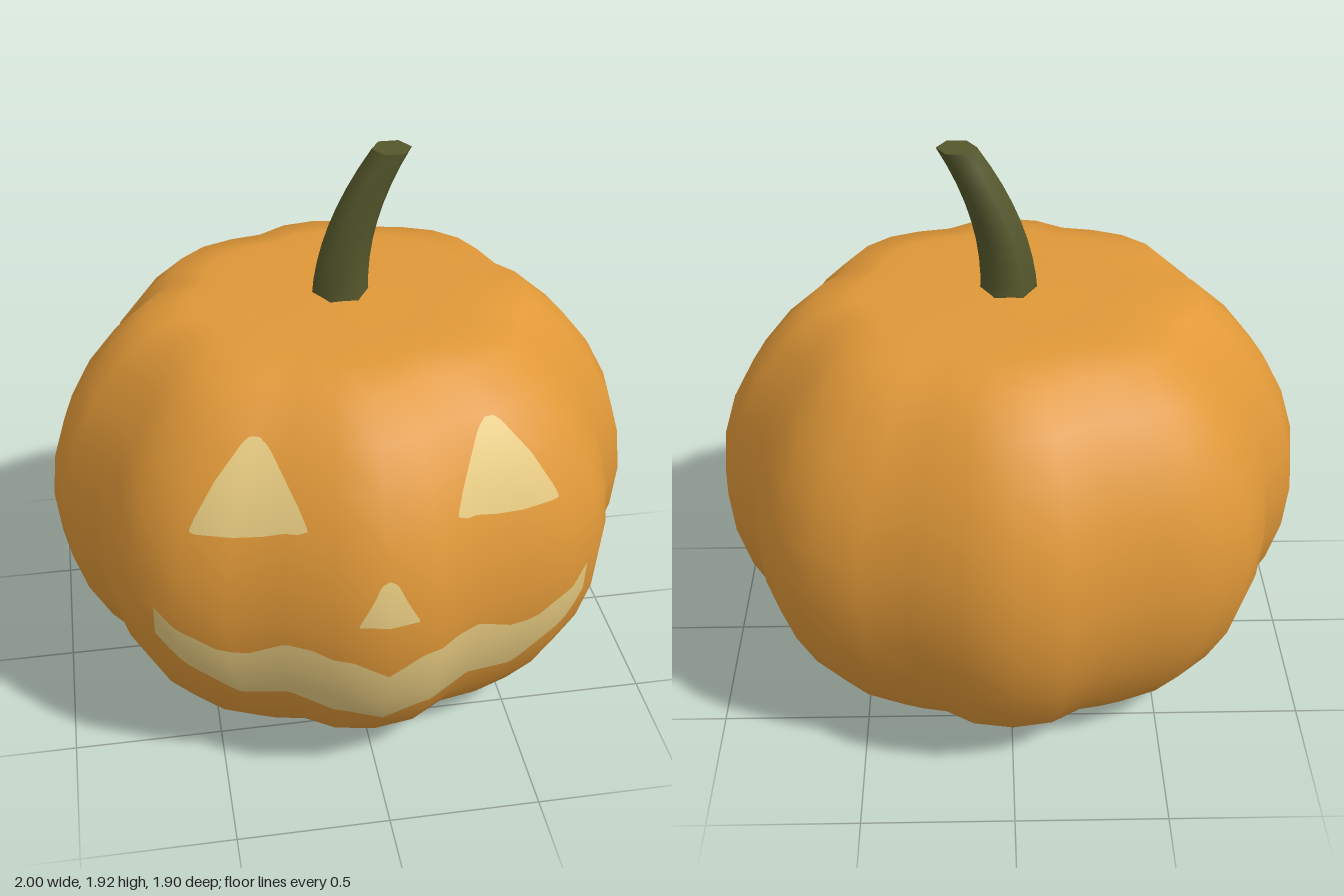
import * as THREE from 'three';
import { mergeVertices } from 'three/addons/utils/BufferGeometryUtils.js';

const orange = new THREE.MeshStandardMaterial({ name: 'pumpkin orange', color: 0xe09838 });
const cream = new THREE.MeshStandardMaterial({ name: 'carved cream', color: 0xe6ca80 });
const green = new THREE.MeshStandardMaterial({ name: 'stem green', color: 0x55582c });

function named(name, geometry, material) {
  const mesh = new THREE.Mesh(geometry, material);
  mesh.name = name;
  return mesh;
}

// Ribbed body: a sphere with eight lobes and flattened top and bottom
function makeBody() {
  let geo = new THREE.SphereGeometry(1, 36, 18);
  geo.deleteAttribute('uv');
  geo.deleteAttribute('normal');
  const p = geo.attributes.position;
  for (let i = 0; i < p.count; i++) {
    const x = p.getX(i), y = p.getY(i), z = p.getZ(i);
    const lobe = 0.87 + 0.13 * Math.sqrt(Math.abs(Math.cos(4 * Math.atan2(x, z))));
    let h = Math.min(Math.abs(y) * 0.88, 0.698);
    const r = Math.hypot(x, z);
    if (r < 0.25) h += 0.02 * (1 - r / 0.25);
    p.setXYZ(i, x * lobe, 0.718 + Math.sign(y) * h, z * lobe * 0.95);
  }
  geo = mergeVertices(geo, 1e-4);
  geo.computeVertexNormals();
  return named('body', geo, orange);
}

// Height of a polyline of [x, y] points at x
function heightAt(line, x) {
  for (let i = 1; i < line.length; i++) {
    const [x0, y0] = line[i - 1], [x1, y1] = line[i];
    if (x <= x1 || i === line.length - 1) {
      return y0 + (y1 - y0) * Math.min(1, Math.max(0, (x - x0) / (x1 - x0)));
    }
  }
}

// Thin face patch between two polylines, draped over the front of the body
function drape(name, body, top, bottom, cols, rows) {
  const ray = new THREE.Raycaster();
  const from = new THREE.Vector3(), dir = new THREE.Vector3(0, 0, -1);
  const pos = [], nor = [], index = [];
  const x0 = top[0][0], x1 = top[top.length - 1][0];
  for (let i = 0; i <= cols; i++) {
    const x = x0 + (x1 - x0) * i / cols;
    const lo = heightAt(bottom, x), hi = heightAt(top, x);
    for (let j = 0; j <= rows; j++) {
      ray.set(from.set(x + 1e-5, lo + (hi - lo) * j / rows, 2), dir);
      const hit = ray.intersectObject(body)[0];
      const n = hit.normal || hit.face.normal;
      hit.point.addScaledVector(n, 0.005);
      pos.push(...hit.point.toArray());
      nor.push(n.x, n.y, n.z);
      if (i < cols && j < rows) {
        const a = i * (rows + 1) + j, b = a + rows + 1;
        index.push(a, b, b + 1, a, b + 1, a + 1);
      }
    }
  }
  const geo = new THREE.BufferGeometry();
  geo.setAttribute('position', new THREE.Float32BufferAttribute(pos, 3));
  geo.setAttribute('normal', new THREE.Float32BufferAttribute(nor, 3));
  geo.setIndex(index);
  return named(name, geo, cream);
}

// Six-sided stem that tapers and curves towards +x
function makeStem() {
  const base = 1.41, height = 0.51;
  const geo = new THREE.CylinderGeometry(0.065, 0.095, height, 6, 8, false, Math.PI / 2);
  geo.translate(0, height / 2, 0);
  const p = geo.attributes.position;
  for (let i = 0; i < p.count; i++) {
    const t = p.getY(i) / height;
    p.setXYZ(i, p.getX(i) + 0.165 * t * t, p.getY(i) + base, p.getZ(i));
  }
  geo.computeVertexNormals();
  return named('stem', geo, green);
}

// Reverse and negate a polyline in x
const flip = (line) => line.map(([x, y]) => [-x, y]).reverse();
// Complete a polyline that ends at x = 0
const mirrored = (half) => [...half, ...flip(half).slice(1)];

export function createModel() {
  const group = new THREE.Group();
  group.name = 'carvedPumpkin';
  const body = makeBody();
  group.add(body, makeStem());

  // Triangular eyes
  const eyeTop = [[0.23, 1.06], [0.25, 1.11], [0.32, 1.255], [0.345, 1.28], [0.375, 1.28],
    [0.4, 1.26], [0.49, 1.16], [0.56, 1.05], [0.575, 1.02]];
  const eyeBottom = [[0.23, 1.05], [0.26, 1.035], [0.36, 1.02], [0.56, 1.008], [0.575, 1.012]];
  group.add(drape('leftEye', body, eyeTop, eyeBottom, 36, 20));
  group.add(drape('rightEye', body, flip(eyeTop), flip(eyeBottom), 36, 20));

  // Nose
  const noseTop = mirrored([[-0.092, 0.775], [-0.06, 0.835], [-0.025, 0.91], [0, 0.925]]);
  const noseBottom = mirrored([[-0.092, 0.768], [0, 0.766]]);
  group.add(drape('nose', body, noseTop, noseBottom, 20, 12));

  // Wavy grin
  const mouthTop = mirrored([[-0.7, 0.72], [-0.65, 0.67], [-0.52, 0.605], [-0.42, 0.6],
    [-0.3, 0.645], [-0.23, 0.652], [-0.11, 0.625], [0, 0.565]]);
  const mouthBottom = mirrored([[-0.7, 0.605], [-0.6, 0.5], [-0.44, 0.39], [-0.28, 0.4],
    [-0.12, 0.36], [0, 0.308]]);
  group.add(drape('mouth', body, mouthTop, mouthBottom, 100, 20));

  return group;
}
